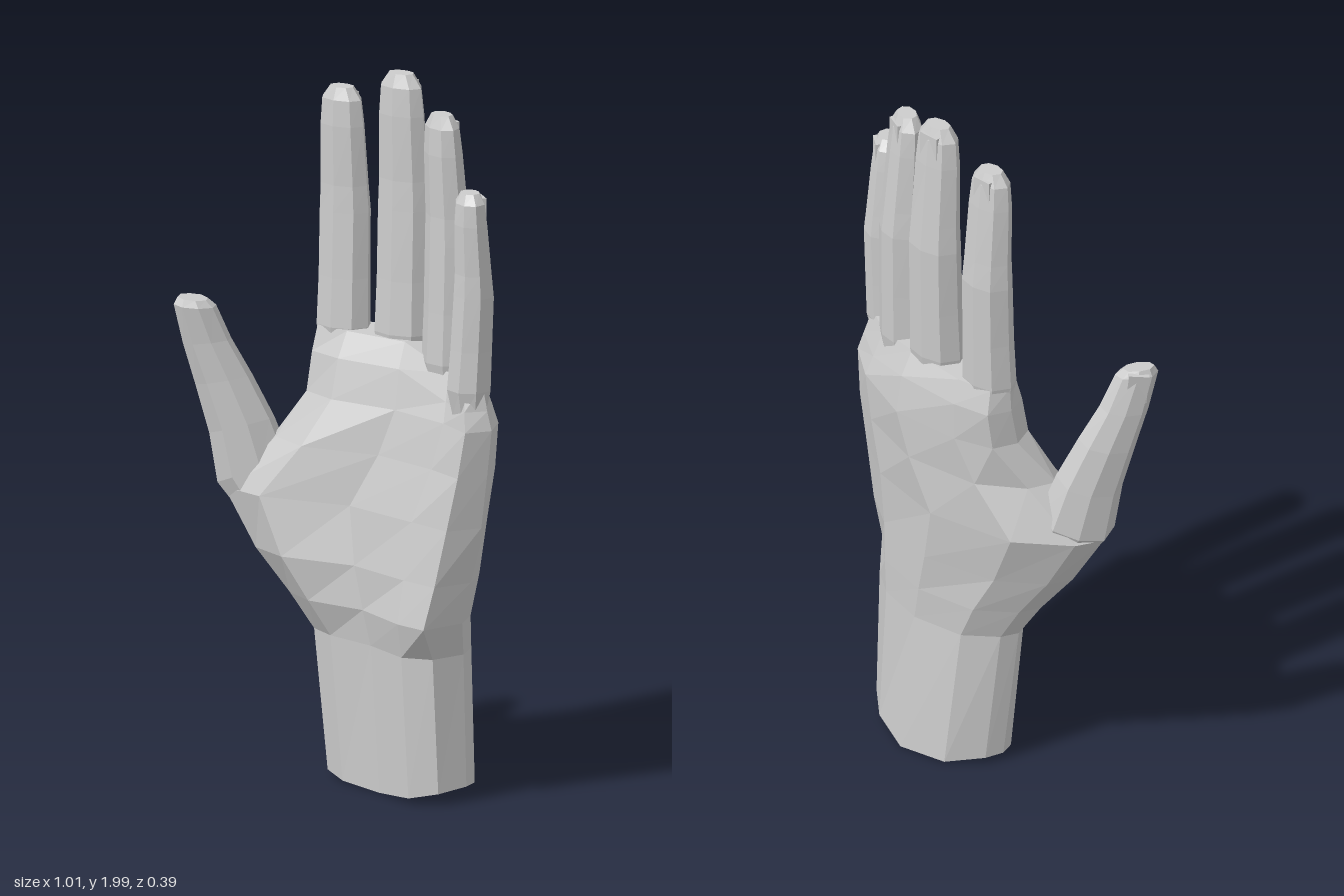
import * as THREE from 'three';

const material = new THREE.MeshStandardMaterial({ color: 0xcccccc, flatShading: true });

// Skin a stack of rings (each: left, front points, right, back points) and cap both ends
function loft(rings, name) {
  const n = rings[0].length, pos = [];
  const quad = (a, b, c, d) => [a, b, c, a, c, d].forEach((p) => pos.push(...p));
  for (let i = 0; i < rings.length - 1; i++) {
    for (let j = 0; j < n; j++) {
      const k = (j + 1) % n;
      quad(rings[i][j], rings[i][k], rings[i + 1][k], rings[i + 1][j]);
    }
  }
  const bottom = rings[0], top = rings[rings.length - 1];
  for (let j = 0; j < n / 2; j++) {
    const ids = [j, j + 1, n - 1 - j, (n - j) % n];
    quad(...ids.map((k) => top[k]));
    quad(...ids.reverse().map((k) => bottom[k]));
  }
  const geometry = new THREE.BufferGeometry();
  geometry.setAttribute('position', new THREE.Float32BufferAttribute(pos, 3));
  geometry.computeVertexNormals();
  const mesh = new THREE.Mesh(geometry, material);
  mesh.name = name;
  return mesh;
}

// Wrist and palm: y, left x, left z, right x, right z, front depths, back depths
const STATIONS = [0.04, 0.2, 0.5, 0.78, 0.94];
const PALM = [
  [0.005, -0.11, -0.04, 0.39, 0.02, [0.01, 0.05, 0.085, 0.14, 0.11], [-0.09, -0.17, -0.19, -0.13, -0.06]],
  [0.42, -0.15, -0.02, 0.38, 0.02, [0.02, 0.06, 0.09, 0.15, 0.12], [-0.07, -0.14, -0.16, -0.12, -0.06]],
  [0.52, -0.215, 0.0, 0.405, 0.06, [0.05, 0.1, 0.1, 0.175, 0.19], [-0.06, -0.14, -0.165, -0.12, -0.03]],
  [0.64, -0.31, 0.03, 0.435, 0.06, [0.085, 0.13, 0.095, 0.15, 0.17], [-0.04, -0.13, -0.175, -0.12, -0.04]],
  [0.8, -0.412, 0.045, 0.47, 0.06, [0.1, 0.13, 0.07, 0.12, 0.15], [-0.03, -0.14, -0.185, -0.13, -0.04]],
  [0.95, -0.275, 0.0, 0.49, 0.06, [0.04, 0.09, 0.045, 0.09, 0.135], [-0.08, -0.165, -0.19, -0.12, -0.04]],
  [1.08, -0.205, -0.08, 0.505, 0.06, [-0.01, 0.03, 0.025, 0.07, 0.125], [-0.15, -0.185, -0.195, -0.115, -0.03]],
  [1.19, -0.2, -0.1, 0.49, 0.06, [-0.03, 0.0, 0.0, 0.045, 0.11], [-0.165, -0.185, -0.18, -0.095, -0.02]],
  [1.26, -0.195, -0.1, 0.475, 0.06, [-0.05, -0.04, -0.035, 0.015, 0.085], [-0.15, -0.165, -0.145, -0.065, 0.0]],
];

function palmRing([y, xl, zl, xr, zr, front, back]) {
  const point = (x, z) => {
    // the knuckle line falls towards the little finger, the wrist end is slightly domed
    const drop = y > 1.15 ? 0.4 * Math.min(Math.max(0, x - 0.2), 0.14) : 0;
    const dome = y < 0.1 ? 0.5 * (x - 0.1) ** 2 : 0;
    return [x, y - drop + dome, z];
  };
  const at = (depths) => depths.map((z, i) => point(xl + (xr - xl) * STATIONS[i], z));
  return [point(xl, zl), ...at(front), point(xr, zr), ...at(back).reverse()];
}

// Eight-sided finger section turned about y; tilt lifts its inner edge
const OCTAGON = [[-1, 0], [-0.72, 0.72], [0, 1], [0.72, 0.72], [1, 0], [0.68, -0.78], [0, -1], [-0.68, -0.78]];
function fingerRing([x, y, z, w, d, tilt = 0], yaw) {
  const c = Math.cos(yaw), s = Math.sin(yaw);
  return OCTAGON.map(([u, v]) => {
    const dx = u * w * c - v * d * s;
    return [x + dx, y + tilt * dx, z + u * w * s + v * d * c];
  });
}

// Thin nail plate set into the back of a fingertip
function addNail(group, name, [x, y, z, w, d], yaw, lean = 0) {
  const nail = new THREE.Mesh(new THREE.BoxGeometry(w * 0.95, 0.09, 0.014), material);
  nail.name = name;
  nail.position.set(x + Math.sin(yaw) * d * 0.8, y - 0.03, z - Math.cos(yaw) * d * 0.8);
  nail.rotation.set(0, -yaw, lean, 'ZYX');
  group.add(nail);
}

// Base centre, tip centre, half width at base, yaw following the arch of the hand
const FINGERS = [
  ['indexFinger', [-0.115, 1.17, -0.1], [-0.122, 1.935, -0.1], 0.083, 0],
  ['middleFinger', [0.085, 1.17, -0.1], [0.075, 2.0, -0.107], 0.087, 0],
  ['ringFinger', [0.275, 1.13, -0.045], [0.265, 1.925, -0.037], 0.08, 0.42],
  ['littleFinger', [0.415, 1.11, 0.045], [0.428, 1.745, 0.055], 0.073, 0.65],
];
// Along the finger: fraction, width scale, depth, backward bow at the joints
const JOINTS = [
  [0, 0.85, 0.045, 0], [0.12, 1, 0.062, 0], [0.3, 0.96, 0.059, 0.006], [0.54, 0.96, 0.057, 0.012],
  [0.64, 0.91, 0.052, 0.01], [0.86, 0.85, 0.046, 0.002], [0.955, 0.77, 0.04, 0], [1, 0.45, 0.026, 0],
];

// The thumb grows out of the ball of the hand and leans outwards
const THUMB_YAW = -0.85;
const THUMB = [
  [-0.26, 0.71, 0.03, 0.06, 0.05, 0.4],
  [-0.325, 0.84, 0.03, 0.104, 0.078, 0.4],
  [-0.353, 0.97, 0.05, 0.092, 0.07, 0.3],
  [-0.393, 1.1, 0.08, 0.08, 0.06, 0.2],
  [-0.426, 1.21, 0.112, 0.068, 0.05, 0.1],
  [-0.447, 1.315, 0.14, 0.06, 0.043, -0.1],
  [-0.452, 1.335, 0.143, 0.043, 0.032, -0.15],
];

export function createModel() {
  const hand = new THREE.Group();
  hand.name = 'hand';
  hand.add(loft(PALM.map(palmRing), 'palmAndWrist'));

  for (const [name, base, tip, width, yaw] of FINGERS) {
    const sections = JOINTS.map(([t, ws, d, bow]) => [
      base[0] + (tip[0] - base[0]) * t + Math.sin(yaw) * bow,
      base[1] + (tip[1] - base[1]) * t,
      base[2] + (tip[2] - base[2]) * t - Math.cos(yaw) * bow,
      width * ws, d,
    ]);
    hand.add(loft(sections.map((s) => fingerRing(s, yaw)), name));
    addNail(hand, name + 'Nail', sections[6], yaw);
  }

  hand.add(loft(THUMB.map((s) => fingerRing(s, THUMB_YAW)), 'thumb'));
  addNail(hand, 'thumbNail', THUMB[5], THUMB_YAW, 0.15);
  return hand;
}
